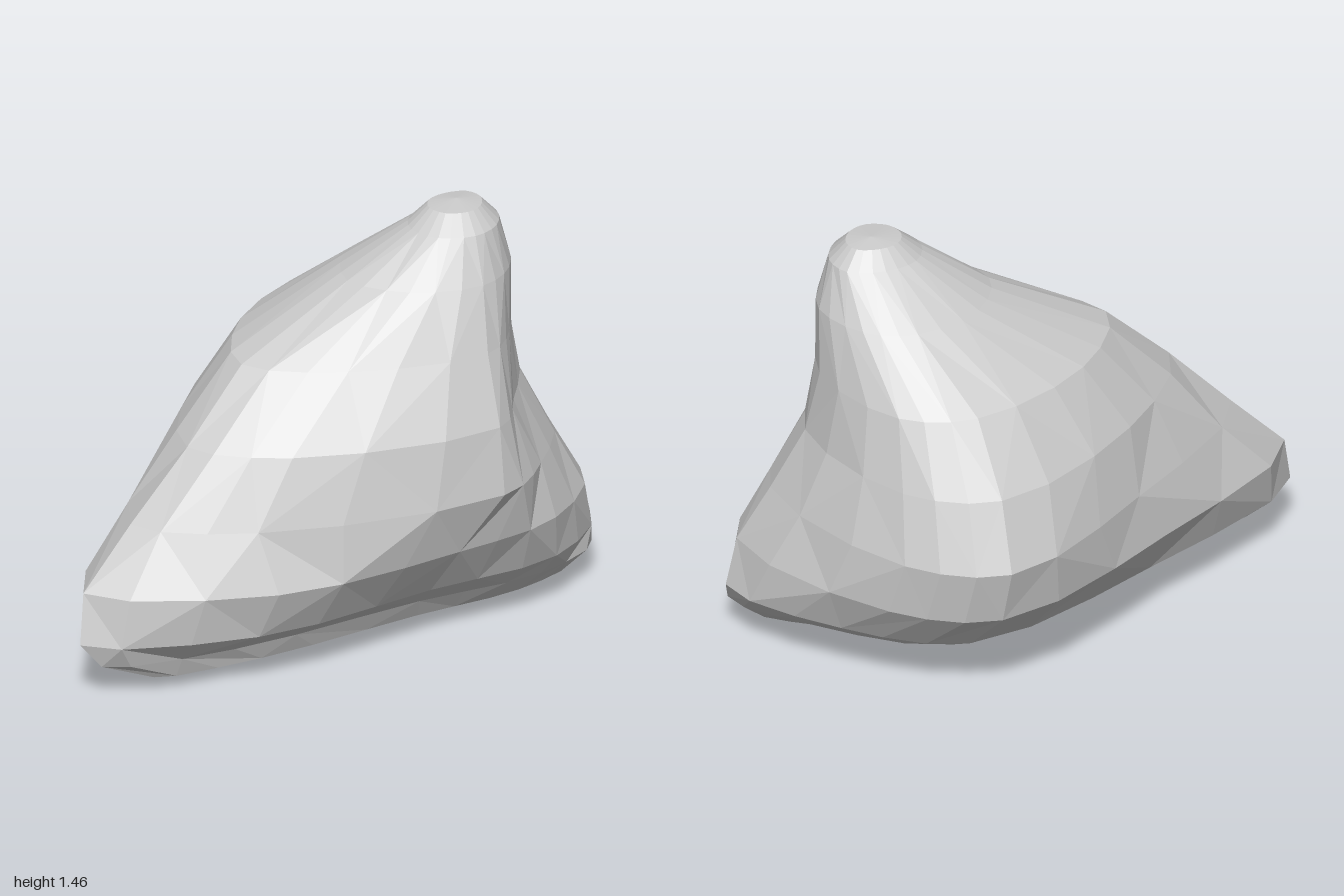
import * as THREE from 'three';

// Horizontal sections of the boulder: height, then eight [x, z] corners running
// left tip, front-left, front bulge, front-right, right tip, back-right, back bulge, back-left
const SECTIONS = [
  [0.12, [-0.94, 0.16], [-0.5, 0.31], [0.22, 0.37], [0.68, 0.43], [0.97, 0.32], [0.79, 0.03], [0.42, -0.28], [-0.25, -0.12]],
  [0.20, [-1.0, 0.12], [-0.48, 0.42], [0.2, 0.46], [0.70, 0.49], [1.0, 0.27], [0.77, -0.15], [0.42, -0.42], [-0.33, -0.22]],
  [0.37, [-0.965, 0.09], [-0.45, 0.49], [0.24, 0.57], [0.66, 0.54], [0.96, 0.27], [0.70, -0.38], [0.38, -0.59], [-0.35, -0.31]],
  [0.57, [-0.77, 0.09], [-0.47, 0.40], [0.37, 0.645], [0.62, 0.51], [0.86, 0.22], [0.67, -0.44], [0.37, -0.64], [-0.23, -0.35]],
  [0.80, [-0.55, 0.11], [-0.32, 0.39], [0.38, 0.605], [0.55, 0.45], [0.76, 0.16], [0.64, -0.36], [0.36, -0.54], [-0.23, -0.28]],
  [1.03, [-0.31, 0.09], [-0.06, 0.35], [0.40, 0.51], [0.57, 0.40], [0.725, 0.12], [0.61, -0.26], [0.37, -0.37], [-0.09, -0.21]],
  [1.24, [0.10, 0.13], [0.21, 0.33], [0.44, 0.43], [0.60, 0.36], [0.70, 0.18], [0.63, -0.02], [0.47, -0.11], [0.22, -0.05]],
  [1.39, [0.32, 0.19], [0.35, 0.30], [0.46, 0.36], [0.57, 0.33], [0.64, 0.23], [0.62, 0.13], [0.50, 0.08], [0.38, 0.10]],
];
const SIDES = 24;

// Closed loop through the corners of one section
function sectionLoop([y, ...corners]) {
  const curve = new THREE.CatmullRomCurve3(corners.map(([x, z]) => new THREE.Vector3(x, y, z)), true);
  return Array.from({ length: SIDES }, (_, i) => curve.getPoint(i / SIDES));
}

// Copy of a loop pulled in towards a point, at a new height
function shrink(loop, x, z, kx, kz, y) {
  return loop.map(p => new THREE.Vector3(x + (p.x - x) * kx, y, z + (p.z - z) * kz));
}

function boulderGeometry() {
  const loops = SECTIONS.map(sectionLoop);
  loops.unshift(shrink(loops[0], 0.35, 0.28, 0.86, 0.6, 0.05));
  loops.push(shrink(loops[loops.length - 1], 0.5, 0.2, 0.6, 0.6, 1.45));

  const pos = [];
  const tri = (...pts) => pts.forEach(p => pos.push(p.x, p.y, p.z));

  // Facets between neighbouring loops, with diagonals alternating
  for (let j = 0; j < loops.length - 1; j++) {
    for (let i = 0; i < SIDES; i++) {
      const n = (i + 1) % SIDES;
      const a = loops[j][i], b = loops[j][n], c = loops[j + 1][n], d = loops[j + 1][i];
      if ((i + j) % 2) { tri(a, b, c); tri(a, c, d); }
      else { tri(a, b, d); tri(b, c, d); }
    }
  }

  // Underside and summit
  const base = new THREE.Vector3(0.5, 0, 0.2), peak = new THREE.Vector3(0.5, 1.46, 0.2);
  const first = loops[0], last = loops[loops.length - 1];
  for (let i = 0; i < SIDES; i++) {
    const n = (i + 1) % SIDES;
    tri(first[n], first[i], base);
    tri(last[i], last[n], peak);
  }

  const geo = new THREE.BufferGeometry();
  geo.setAttribute('position', new THREE.Float32BufferAttribute(pos, 3));
  geo.computeVertexNormals();
  return geo;
}

export function createModel() {
  const group = new THREE.Group();
  group.name = 'rock';
  const boulder = new THREE.Mesh(
    boulderGeometry(),
    new THREE.MeshStandardMaterial({ color: 0xcccccc, flatShading: true })
  );
  boulder.name = 'boulder';
  group.add(boulder);
  return group;
}
